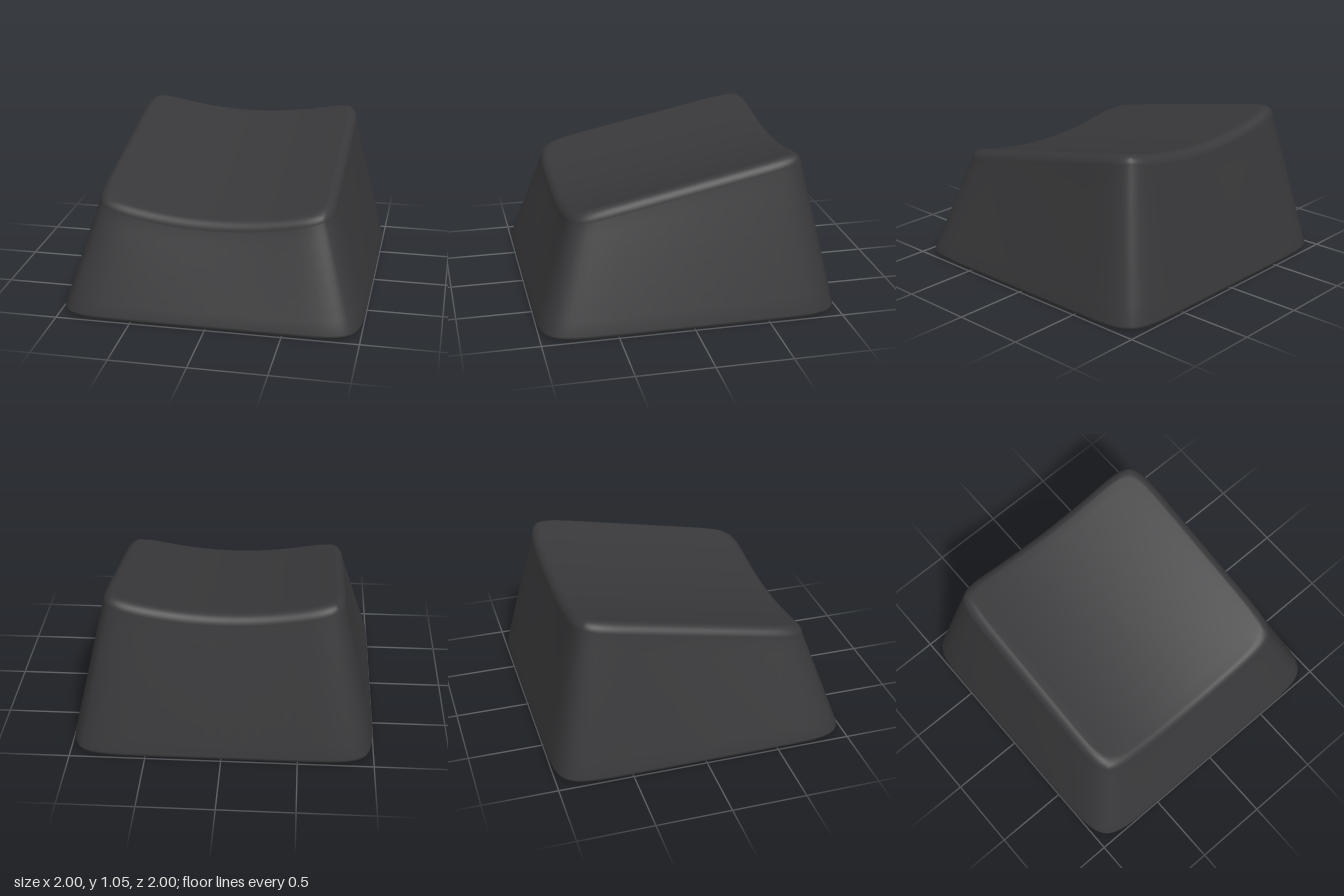
import * as THREE from 'three';
import { toCreasedNormals } from 'three/addons/utils/BufferGeometryUtils.js';

const { lerp, clamp } = THREE.MathUtils;
const SIDE = 28; // points per side of every cross-section

// Soft-cornered square of half size 1, points denser towards the corners
function unitLoop(n) {
  const pts = [];
  for (let k = 0; k < 4; k++) {
    for (let i = 0; i < SIDE; i++) {
      const u = Math.sin((i / SIDE - 0.5) * Math.PI);
      const s = Math.pow(1 + Math.pow(Math.abs(u), n), -1 / n);
      const a = k * Math.PI / 2, c = Math.round(Math.cos(a)), d = Math.round(Math.sin(a));
      pts.push([(c - d * u) * s, (d + c * u) * s]);
    }
  }
  return pts;
}

// Skin over a list of cross-sections with equal point counts
function loft(loops) {
  const n = loops[0].length, index = [];
  for (let j = 0; j < loops.length - 1; j++) {
    for (let i = 0; i < n; i++) {
      const a = j * n + i, b = j * n + (i + 1) % n;
      index.push(a, a + n, b, b, a + n, b + n);
    }
  }
  const geo = new THREE.BufferGeometry();
  geo.setAttribute('position', new THREE.Float32BufferAttribute(loops.flat(2), 3));
  geo.setIndex(index);
  geo.computeVertexNormals();
  return geo;
}

// Cylindrically dished, forward-sloping top
const topY = (x, z) => 0.815 - 0.205 * z + 0.19 * x * x;

function outerShell() {
  const unit = unitLoop(10), loops = [];
  const X = 0.79, FRONT = 0.78, BACK = 0.8, R = 0.07, DROP = 0.075;
  const depth = (v) => (v > 0 ? FRONT : BACK);
  const edge = (inset) => ([u, v]) => [u * (X - inset), v * (depth(v) - inset)];
  const height = (x, z) => topY(clamp(x, R - X, X - R), clamp(z, R - BACK, FRONT - R));

  // rounded bottom lip
  for (const [h, y] of [[0.96, 0], [0.985, 0.006], [0.997, 0.018]]) {
    loops.push(unit.map(([u, v]) => [u * h, y, v * h]));
  }
  // tapered walls
  for (let j = 0; j < 8; j++) {
    const t = j / 8;
    loops.push(unit.map((p) => {
      const [x, z] = edge(0)(p);
      return [lerp(p[0], x, t), lerp(0.035, height(x, z) - DROP, t), lerp(p[1], z, t)];
    }));
  }
  // rounded top edge
  for (let j = 0; j <= 8; j++) {
    const a = j / 8 * Math.PI / 2;
    loops.push(unit.map((p) => {
      const [x, z] = edge(R * (1 - Math.cos(a)))(p);
      return [x, height(x, z) - DROP * (1 - Math.sin(a)), z];
    }));
  }
  // dished top face
  for (let j = 11; j >= 0; j--) {
    loops.push(unit.map((p) => {
      const [x, z] = edge(R)(p).map((c) => c * j / 12);
      return [x, topY(x, z), z];
    }));
  }
  return loft(loops);
}

function innerShell() {
  const unit = unitLoop(14);
  const outer = unitLoop(10);
  // half size and height, from ceiling centre down the walls to the rim
  const rows = [[0, 0.58], [0.3, 0.58], [0.59, 0.58], [0.61, 0.57], [0.75, 0.285], [0.89, 0]];
  const loops = rows.map(([h, y]) => unit.map(([u, v]) => [u * h, y, v * h]));
  loops.push(outer.map(([u, v]) => [u * 0.96, 0, v * 0.96]));
  return toCreasedNormals(loft(loops), 0.5);
}

// Round post with a cross-shaped socket
function stem(radius, bottom, top) {
  const shape = new THREE.Shape().absarc(0, 0, radius, 0, Math.PI * 2, false);
  const L = 0.115, W = 0.027;
  const quarter = [[L, -W], [L, W], [W, W]];
  const cross = [];
  for (let k = 0; k < 4; k++) {
    for (const [x, y] of quarter) {
      cross.push(new THREE.Vector2(x, y).rotateAround(new THREE.Vector2(), k * Math.PI / 2));
    }
  }
  shape.holes.push(new THREE.Path(cross));
  const geo = new THREE.ExtrudeGeometry(shape, { depth: top - bottom, bevelEnabled: false, curveSegments: 48 });
  geo.rotateX(-Math.PI / 2).translate(0, bottom, 0);
  return toCreasedNormals(geo, 0.6);
}

export function createModel() {
  const group = new THREE.Group();
  const dark = new THREE.MeshStandardMaterial({ color: 0x38383a });
  const grey = new THREE.MeshStandardMaterial({ color: 0xcccccc });
  const add = (name, geo, mat) => {
    const mesh = new THREE.Mesh(geo, mat);
    mesh.name = name;
    group.add(mesh);
  };

  add('outerShell', outerShell(), dark);
  add('innerShell', innerShell(), grey);
  add('stem', stem(0.16, 0.1, 0.58), grey);

  // small flare where the stem meets the ceiling
  const flare = [];
  for (let i = 0; i <= 6; i++) {
    const a = i / 6 * Math.PI / 2;
    flare.push(new THREE.Vector2(0.16 + 0.035 * (1 - Math.cos(a)), 0.545 + 0.035 * Math.sin(a)));
  }
  add('stemFlare', new THREE.LatheGeometry(flare, 48), grey);
  return group;
}
